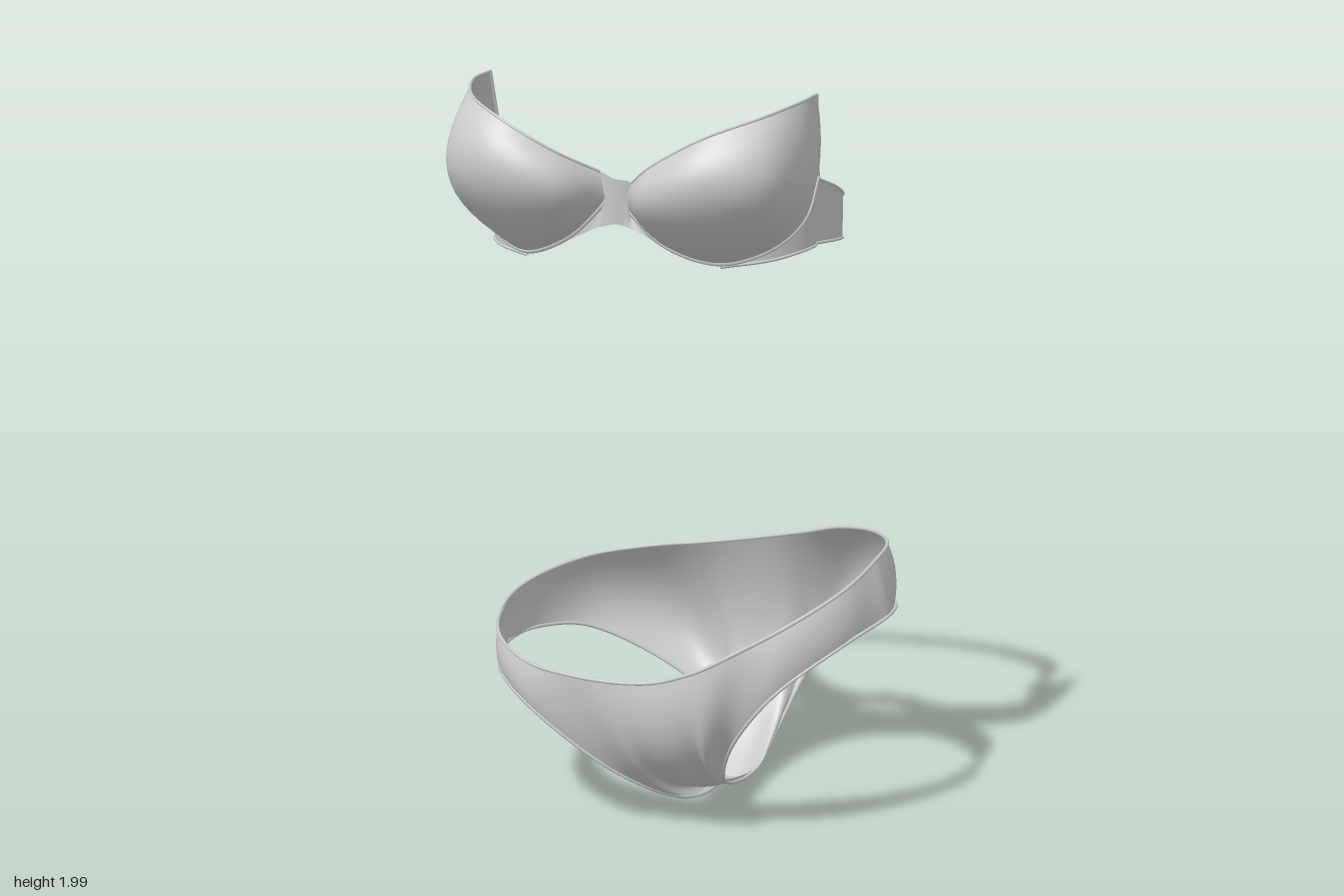
import * as THREE from 'three';
import { mergeGeometries, mergeVertices } from 'three/addons/utils/BufferGeometryUtils.js';
import { RoundedBoxGeometry } from 'three/addons/geometries/RoundedBoxGeometry.js';

const fabric = new THREE.MeshStandardMaterial({ color: 0xcccccc, side: THREE.DoubleSide });
const curve = (pts, closed = false) =>
  new THREE.CatmullRomCurve3(pts.map(p => new THREE.Vector3(...p)), closed);

// Cloth surface: columns bow from the bottom edge to the top edge, pulled by a control row
function sheet(bottom, control, top, nu = 72, nv = 14) {
  const [b, c, t] = [bottom, control, top].map(r => curve(r));
  const pos = [], index = [];
  for (let i = 0; i <= nu; i++) {
    const u = i / nu;
    const column = new THREE.QuadraticBezierCurve3(b.getPoint(u), c.getPoint(u), t.getPoint(u));
    for (let j = 0; j <= nv; j++) pos.push(...column.getPoint(j / nv).toArray());
  }
  for (let i = 0; i < nu; i++) for (let j = 0; j < nv; j++) {
    const a = i * (nv + 1) + j, d = a + nv + 1;
    index.push(a, d, d + 1, a, d + 1, a + 1);
  }
  const g = new THREE.BufferGeometry();
  g.setAttribute('position', new THREE.Float32BufferAttribute(pos, 3));
  g.setIndex(index);
  g.computeVertexNormals();
  return g;
}

const middle = (a, b) => a.map((p, i) => p.map((v, k) => (v + b[i][k]) / 2));

function add(group, name, geometry) {
  const m = new THREE.Mesh(geometry, fabric);
  m.name = name;
  group.add(m);
  return m;
}

function hem(group, name, pts, closed = false, radius = 0.005) {
  add(group, name, new THREE.TubeGeometry(curve(pts, closed), 96, radius, 6, closed));
}

function createBra() {
  const bra = new THREE.Group();
  bra.name = 'braTop';

  // Right cup, from the outer side to the centre
  const wire = [[-.505, 1.77, .07], [-.495, 1.66, .15], [-.44, 1.59, .24], [-.33, 1.555, .31], [-.2, 1.6, .345], [-.1, 1.69, .34]];
  const bulge = [[-.52, 1.88, .09], [-.568, 1.78, .305], [-.535, 1.735, .54], [-.335, 1.725, .6], [-.15, 1.715, .535], [-.1, 1.73, .36]];
  const brim = [[-.5, 1.995, .15], [-.495, 1.98, .26], [-.44, 1.945, .38], [-.33, 1.895, .45], [-.2, 1.82, .43], [-.113, 1.765, .345]];
  // The left cup is mirrored and sits a little lower and wider at the tip
  const toLeft = row => row.map(([x, y, z]) => [
    -.145 - x + Math.max(0, y - 1.85) * .16, 1.545 + (y - 1.555) * .925, z - .01]).reverse();

  for (const [side, place] of [['right', r => r], ['left', toLeft]]) {
    const [w, c, t] = [wire, bulge, brim].map(place);
    add(bra, side + 'Cup', sheet(w, c, t));
    hem(bra, side + 'CupWire', w, false, .006);
    hem(bra, side + 'CupBrim', t, false, .004);
    const o = side === 'right' ? 0 : w.length - 1;
    hem(bra, side + 'CupOuterEdge', [w[o], middle([w[o]], [t[o]])[0], t[o]], false, .004);
  }

  // Centre bridge, its upper edge following the two wires
  const bridgeLow = [[-.2, 1.592, .345], [-.15, 1.615, .345], [-.12, 1.627, .345], [-.1, 1.632, .345], [-.075, 1.637, .345],
    [-.05, 1.632, .34], [-.03, 1.624, .338], [.005, 1.608, .335], [.055, 1.58, .335]];
  const bridgeTop = [[-.2, 1.6, .345], [-.15, 1.64, .345], [-.1, 1.69, .34], [-.112, 1.763, .345], [-.075, 1.75, .352],
    [-.034, 1.738, .335], [-.045, 1.67, .33], [.005, 1.624, .335], [.055, 1.587, .335]];
  add(bra, 'centreBridge', sheet(bridgeLow, middle(bridgeLow, bridgeTop), bridgeTop, 48, 6));

  // Band round the back: x, z, top height, bottom height
  const band = [
    [-.33, .31, 1.56, 1.545], [-.44, .24, 1.595, 1.56], [-.495, .15, 1.66, 1.572], [-.505, .07, 1.77, 1.575],
    [-.505, 0, 1.742, 1.57], [-.52, -.12, 1.7, 1.565], [-.51, -.21, 1.67, 1.56], [-.42, -.295, 1.648, 1.56],
    [-.2, -.362, 1.635, 1.56], [0, -.373, 1.633, 1.56], [.12, -.358, 1.636, 1.56], [.25, -.305, 1.648, 1.56],
    [.34, -.22, 1.67, 1.56], [.352, -.13, 1.7, 1.563], [.335, 0, 1.735, 1.567], [.355, .06, 1.745, 1.57],
    [.347, .14, 1.645, 1.565], [.293, .23, 1.58, 1.55], [.186, .3, 1.548, 1.537]].reverse();
  const bandTop = band.map(([x, z, t]) => [x, t, z]);
  const bandLow = band.map(([x, z, , b]) => [x, b, z]);
  add(bra, 'backBand', sheet(bandLow, middle(bandLow, bandTop), bandTop, 108, 6));
  hem(bra, 'bandTopHem', bandTop.slice(3, -3), false, .004);
  hem(bra, 'bandLowerHem', bandLow, false, .004);

  const clasp = add(bra, 'backClasp', new RoundedBoxGeometry(.05, .08, .016, 2, .006));
  clasp.position.set(-.11, 1.598, -.37);
  clasp.rotation.y = .07;
  return bra;
}

function createBriefs() {
  const briefs = new THREE.Group();
  briefs.name = 'briefs';

  // Each row runs from the right hip past the crotch columns (5 to 7) to the left hip
  const front = {
    waist: [[-.55, .535, 0], [-.5, .49, .17], [-.36, .455, .285], [-.2, .445, .325], [-.1, .445, .335], [-.03, .45, .338], [.03, .46, .338],
      [.09, .48, .335], [.15, .505, .33], [.23, .55, .31], [.35, .62, .27], [.47, .7, .16], [.51, .745, 0]],
    pull: [[-.555, .475, 0], [-.51, .44, .18], [-.38, .39, .3], [-.17, .29, .325], [-.06, .17, .365], [0, .11, .4], [.06, .11, .41],
      [.115, .13, .4], [.15, .21, .375], [.22, .41, .325], [.35, .53, .3], [.49, .63, .175], [.54, .67, 0]],
    edge: [[-.55, .41, 0], [-.5, .395, .17], [-.36, .335, .285], [-.13, .165, .245], [.005, .05, .08], [.02, .012, -.2], [.075, .02, -.2],
      [.12, .05, -.2], [.13, .12, .1], [.2, .275, .24], [.33, .445, .285], [.48, .562, .17], [.55, .6, 0]],
  };
  const back = {
    waist: [[-.55, .535, 0], [-.52, .565, -.17], [-.42, .597, -.29], [-.25, .625, -.355], [-.12, .643, -.365], [-.03, .657, -.37], [.05, .672, -.37],
      [.12, .687, -.365], [.2, .705, -.36], [.31, .735, -.335], [.42, .752, -.27], [.5, .757, -.15], [.51, .745, 0]],
    pull: [[-.555, .475, 0], [-.535, .485, -.18], [-.44, .47, -.38], [-.24, .38, -.575], [-.12, .29, -.585], [-.03, .22, -.575], [.05, .21, -.565],
      [.12, .24, -.58], [.2, .36, -.605], [.3, .48, -.605], [.43, .61, -.42], [.525, .665, -.205], [.54, .67, 0]],
    edge: [[-.55, .41, 0], [-.53, .405, -.17], [-.43, .372, -.32], [-.15, .21, -.41], [.015, .08, -.33], [.02, .012, -.2], [.075, .02, -.2],
      [.12, .05, -.2], [.135, .13, -.35], [.2, .285, -.425], [.37, .485, -.37], [.51, .58, -.19], [.55, .6, 0]],
  };
  const flip = row => [...row].reverse();

  // Front and back panels welded at the hips and crotch
  const panels = [
    sheet(front.edge, front.pull, front.waist, 96, 20),
    sheet(flip(back.edge), flip(back.pull), flip(back.waist), 96, 20)];
  panels.forEach(g => g.deleteAttribute('normal'));
  const body = mergeVertices(mergeGeometries(panels), 1e-4);
  body.computeVertexNormals();
  add(briefs, 'briefsBody', body);

  // Hems along the waist and both leg openings
  const loop = (key, from, to) => [
    ...front[key].slice(from, to + 1),
    ...flip(back[key].slice(from, to + 1)).slice(1, -1)];
  hem(briefs, 'waistHem', loop('waist', 0, 12), true);
  hem(briefs, 'rightLegHem', loop('edge', 0, 5), true);
  hem(briefs, 'leftLegHem', loop('edge', 7, 12), true);
  return briefs;
}

export function createModel() {
  const model = new THREE.Group();
  model.name = 'twoPieceSwimwear';
  model.add(createBra(), createBriefs());
  return model;
}
